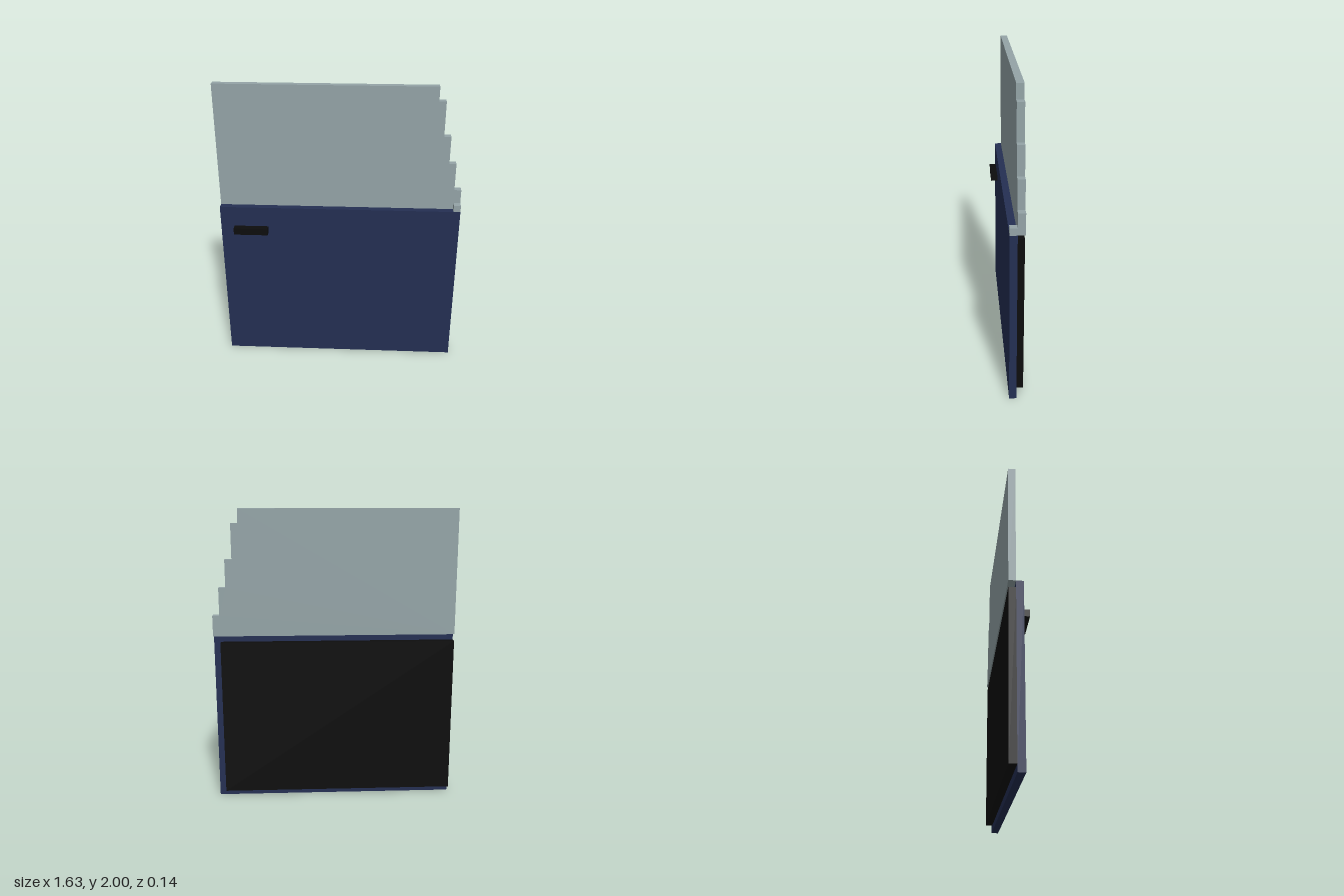
import * as THREE from 'three';

const U = 2 / 43; // one grid cell; the door is 35 x 43 x 3 cells

export function createModel() {
  const paint = new THREE.MeshStandardMaterial({ color: 0x242f53 });
  paint.name = 'navyPaint';
  const glass = new THREE.MeshStandardMaterial({ color: 0x94a4a7 });
  glass.name = 'greyGlass';
  const trim = new THREE.MeshStandardMaterial({ color: 0x0d0d0d });
  trim.name = 'blackTrim';

  const door = new THREE.Group();
  door.name = 'door';

  const place = (name, geometry, material) => {
    geometry.translate(-17.5, 0, -1.5).scale(U, U, U);
    const mesh = new THREE.Mesh(geometry, material);
    mesh.name = name;
    door.add(mesh);
  };

  // Box between two corners given in grid cells
  const block = (name, [x0, y0, z0], [x1, y1, z1], material) => {
    const g = new THREE.BoxGeometry(x1 - x0, y1 - y0, z1 - z0);
    place(name, g.translate((x0 + x1) / 2, (y0 + y1) / 2, (z0 + z1) / 2), material);
  };

  block('doorPanel', [0, 0, 1], [35, 25, 2], paint);
  block('innerLining', [0, 1, 0], [34, 24, 1], trim);
  block('handle', [2, 21, 2], [7, 22, 3], trim);
  block('mirrorMount', [34, 25, 1], [35, 26, 2], glass);

  // Window pane with a stepped sloping edge
  const pane = new THREE.Shape().moveTo(0, 25).lineTo(35, 25);
  [28, 32, 36, 41, 43].forEach((top, i) => {
    if (i > 0) pane.lineTo(35 - i, pane.currentPoint.y);
    pane.lineTo(35 - i, top);
  });
  pane.lineTo(0, 43);
  pane.closePath();
  place('windowPane', new THREE.ExtrudeGeometry(pane, { depth: 1, bevelEnabled: false }), glass);

  return door;
}
